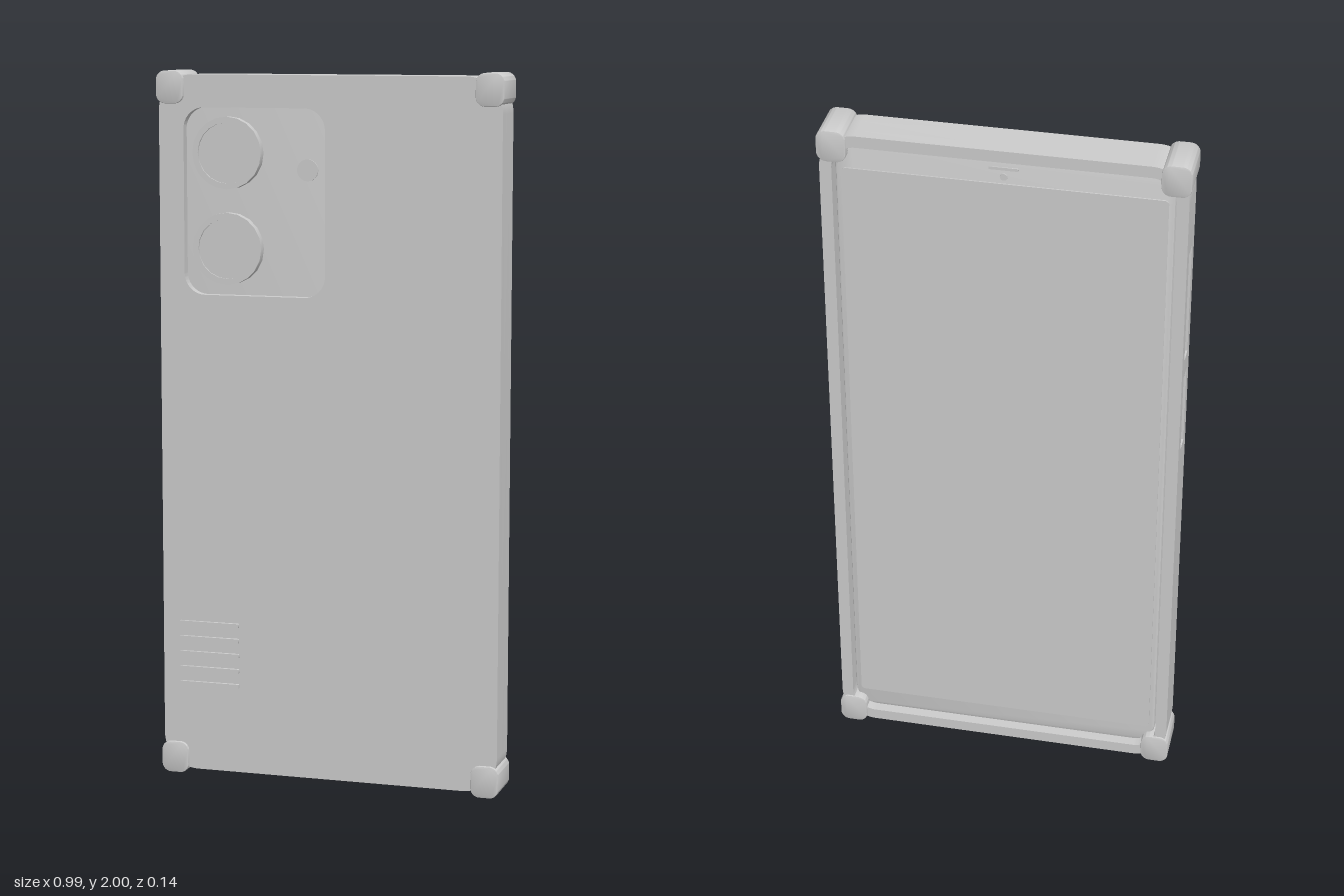
import * as THREE from 'three';
import { toCreasedNormals } from 'three/addons/utils/BufferGeometryUtils.js';

const material = new THREE.MeshStandardMaterial({ color: 0xcccccc });

// Rounded rectangle given by its limits, as a Shape or a hole Path
function roundRect(x0, y0, x1, y1, r, Type = THREE.Shape) {
  const p = new Type();
  p.moveTo(x0 + r, y0);
  p.lineTo(x1 - r, y0);
  p.absarc(x1 - r, y0 + r, r, -Math.PI / 2, 0);
  p.lineTo(x1, y1 - r);
  p.absarc(x1 - r, y1 - r, r, 0, Math.PI / 2);
  p.lineTo(x0 + r, y1);
  p.absarc(x0 + r, y1 - r, r, Math.PI / 2, Math.PI);
  p.lineTo(x0, y0 + r);
  p.absarc(x0 + r, y0 + r, r, Math.PI, Math.PI * 1.5);
  return p;
}

// Extrude a shape between two z levels, bevel kept inside them
function slab(name, shape, z0, z1, bevel = 0) {
  const g = new THREE.ExtrudeGeometry(shape, {
    depth: z1 - z0 - 2 * bevel, curveSegments: 10, bevelEnabled: bevel > 0,
    bevelSize: bevel, bevelOffset: -bevel, bevelThickness: bevel, bevelSegments: 2,
  });
  g.translate(0, 0, z0 + bevel);
  const mesh = new THREE.Mesh(toCreasedNormals(g, 0.5), material);
  mesh.name = name;
  return mesh;
}

function disc(name, x, y, z0, z1, r) {
  const g = new THREE.CylinderGeometry(r, r, z1 - z0, 40).rotateX(Math.PI / 2);
  const mesh = new THREE.Mesh(g, material);
  mesh.position.set(x, y, (z0 + z1) / 2);
  mesh.name = name;
  return mesh;
}

// Case limits: half width, bottom, top, corner radius, wall thickness
const W = 0.49, B = 0.013, T = 1.99, R = 0.1, t = 0.033;
const Z0 = -0.067, Z1 = 0.056, SLOT0 = -0.031, SLOT1 = 0.021, PANEL = 0.03;
const PORT = 0.36;
const BUTTONS = [[1.1, 1.335], [1.39, 1.72]];

// Outline of a wall piece, walking clockwise outside and back inside
function wallPieces() {
  const w = W - t, b = B + t, top = T - t, r = R - t, c = W - R;
  const cy0 = B + R, cy1 = T - R, H = Math.PI / 2;

  const low = new THREE.Shape();
  low.moveTo(-PORT, B);
  low.lineTo(-c, B);
  low.absarc(-c, cy0, R, -H, -2 * H, true);
  low.lineTo(-W, BUTTONS[0][0]);
  low.lineTo(-w, BUTTONS[0][0]);
  low.lineTo(-w, cy0);
  low.absarc(-c, cy0, r, 2 * H, 3 * H, false);
  low.lineTo(-PORT, b);

  const between = roundRect(-W, BUTTONS[0][1], -w, BUTTONS[1][0], 0.001);

  const main = new THREE.Shape();
  main.moveTo(-W, BUTTONS[1][1]);
  main.lineTo(-W, cy1);
  main.absarc(-c, cy1, R, 2 * H, H, true);
  main.lineTo(c, T);
  main.absarc(c, cy1, R, H, 0, true);
  main.lineTo(W, cy0);
  main.absarc(c, cy0, R, 0, -H, true);
  main.lineTo(PORT, B);
  main.lineTo(PORT, b);
  main.lineTo(c, b);
  main.absarc(c, cy0, r, -H, 0, false);
  main.lineTo(w, cy1);
  main.absarc(c, cy1, r, 0, H, false);
  main.lineTo(-c, top);
  main.absarc(-c, cy1, r, H, 2 * H, false);
  main.lineTo(-w, BUTTONS[1][1]);
  return [low, between, main];
}

export function createModel() {
  const model = new THREE.Group();
  model.name = 'phoneInCase';

  // Case walls: full rings above and below the level of the side openings
  const shell = new THREE.Group();
  shell.name = 'case';
  const ring = roundRect(-W, B, W, T, R);
  ring.holes.push(roundRect(-W + t, B + t, W - t, T - t, R - t, THREE.Path));
  shell.add(slab('screenSideRim', ring, Z0, SLOT0));
  shell.add(slab('slottedWall', wallPieces(), SLOT0, SLOT1));
  shell.add(slab('panelSideWall', ring, SLOT1, PANEL));

  // Case panel with the camera cutout
  const panel = roundRect(-W, B, W, T, R);
  panel.holes.push(roundRect(-0.418, 1.38, -0.008, 1.9, 0.06, THREE.Path));
  shell.add(slab('casePanel', panel, PANEL, Z1));

  // Corner bumpers
  for (const sx of [-1, 1]) {
    for (const y of [0, 1.91]) {
      const xc = sx * 0.456;
      const s = roundRect(xc - 0.04, y, xc + 0.04, y + 0.09, 0.026);
      shell.add(slab('cornerBumper', s, -0.072, 0.065, 0.003));
    }
  }

  // Grip ribs
  for (let i = 0; i < 5; i++) {
    const y = 0.265 + i * 0.044;
    shell.add(slab('gripRib', roundRect(-0.44, y - 0.006, -0.263, y + 0.006, 0.002), Z1 - 0.005, 0.065));
  }
  model.add(shell);

  // Phone body and screen
  const phone = new THREE.Group();
  phone.name = 'phone';
  phone.add(slab('phoneBody', roundRect(-0.452, 0.052, 0.452, 1.952, 0.065), -0.047, PANEL, 0.006));
  phone.add(slab('screen', roundRect(-0.435, 0.11, 0.435, 1.885, 0.012), -0.051, -0.045));
  phone.add(slab('earpiece', roundRect(-0.04, 1.925, 0.04, 1.933, 0.003), -0.05, -0.045));
  phone.add(disc('frontCamera', 0, 1.905, -0.05, -0.045, 0.01));

  // Cameras: barrel, raised ring and sunken glass
  for (const y of [1.51, 1.775]) {
    const rim = new THREE.Shape().absarc(-0.293, y, 0.1, 0, Math.PI * 2);
    rim.holes.push(new THREE.Path().absarc(-0.293, y, 0.084, 0, Math.PI * 2));
    phone.add(slab('lensRing', rim, 0.028, 0.055));
    phone.add(disc('lensGlass', -0.293, y, 0.028, 0.05, 0.085));
  }
  phone.add(disc('flash', -0.065, 1.73, 0.028, 0.034, 0.03));

  // Side buttons standing in the wall slots
  const keys = [[1.13, 1.305, 'powerButton'], [1.42, 1.55, 'volumeDownButton'], [1.56, 1.69, 'volumeUpButton']];
  for (const [y0, y1, name] of keys) {
    const key = slab(name, roundRect(-0.014, y0, 0.014, y1, 0.013), 0, 0.025);
    key.rotation.y = -Math.PI / 2;
    key.position.set(-0.45, 0, -0.005);
    phone.add(key);
  }

  // Charging port rim and speaker slots on the lower edge
  const port = roundRect(-0.06, -0.017, 0.06, 0.017, 0.016);
  port.holes.push(roundRect(-0.05, -0.009, 0.05, 0.009, 0.008, THREE.Path));
  const speaker = roundRect(0.13, -0.007, 0.3, 0.007, 0.006);
  const speaker2 = roundRect(-0.3, -0.007, -0.13, 0.007, 0.006);
  const ports = slab('portAndSpeakers', [port, speaker, speaker2], 0, 0.006);
  ports.rotation.x = Math.PI / 2;
  ports.position.set(0, 0.053, -0.006);
  phone.add(ports);

  model.add(phone);
  return model;
}
